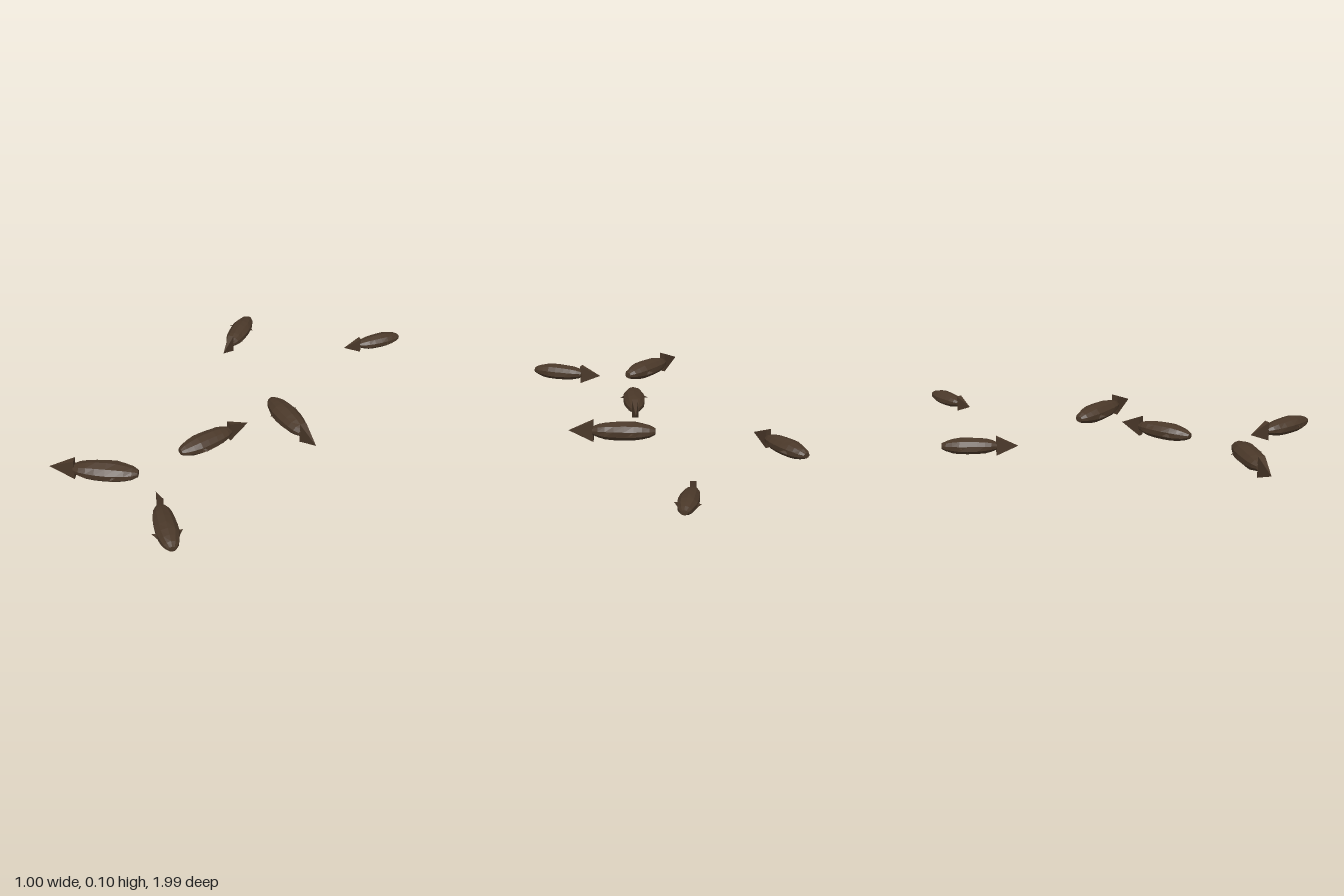
import * as THREE from 'three';

const LENGTH = 0.417; // full-size fish, tail tip to nose
const MID_Y = 0.0525;

// Each fish: tail tip x, z, then nose x, z
const SCHOOL = [
  [0.265, -0.74, 0.465, -0.985],
  [-0.26, -0.38, -0.31, -0.74],
  [0.5, 0.065, 0.145, -0.15],
  [0.135, 0.07, -0.03, 0.42],
  [-0.5, 0.805, -0.115, 0.645],
  [0.02, 0.71, 0.28, 0.985],
];

// Blunt-ended, slightly lumpy oval body along z
function bodyGeometry() {
  const profile = [
    [0, 0.112], [0.42, 0.115], [0.68, 0.143], [0.86, 0.178], [0.95, 0.22], [1, 0.27],
    [0.97, 0.315], [0.83, 0.355], [0.62, 0.39], [0.34, 0.416], [0, 0.417],
  ].map(([r, z]) => new THREE.Vector2(r, z));
  const geo = new THREE.LatheGeometry(profile, 10);
  geo.rotateX(Math.PI / 2);
  const p = geo.attributes.position;
  for (let i = 0; i < p.count; i++) {
    const x = p.getX(i), y = p.getY(i), z = p.getZ(i);
    const lump = 1 + 0.03 * Math.sin(5 * x + 3 * y + 110 * z);
    p.setXY(i, x * lump * 0.06, y * lump * 0.045);
  }
  geo.computeVertexNormals();
  return geo;
}

// Flat four-sided tail, its point trailing at z = 0
function tailGeometry() {
  const geo = new THREE.ConeGeometry(Math.SQRT1_2, 0.12, 4);
  geo.rotateY(Math.PI / 4);
  geo.rotateX(-Math.PI / 2);
  geo.scale(0.034, 0.104, 1);
  geo.translate(0, 0, 0.06);
  return geo;
}

// Small swept-back spike on the flank
function finGeometry(side) {
  const base = new THREE.Vector3(side * 0.046, 0, 0.318);
  const tip = new THREE.Vector3(side * 0.077, 0, 0.293);
  const dir = tip.clone().sub(base);
  const geo = new THREE.ConeGeometry(0.015, dir.length(), 4);
  geo.scale(1, 1, 0.5);
  geo.applyQuaternion(new THREE.Quaternion().setFromUnitVectors(
    new THREE.Vector3(0, 1, 0), dir.normalize()));
  geo.translate(...base.add(tip).multiplyScalar(0.5).toArray());
  return geo;
}

export function createModel() {
  const model = new THREE.Group();
  model.name = 'schoolOfFish';
  const skin = new THREE.MeshStandardMaterial({ color: 0x4a3829, flatShading: true });
  const parts = {
    body: bodyGeometry(),
    tail: tailGeometry(),
    leftFin: finGeometry(1),
    rightFin: finGeometry(-1),
  };

  SCHOOL.forEach(([tx, tz, nx, nz], i) => {
    const fish = new THREE.Group();
    fish.name = `fish${i + 1}`;
    for (const [name, geo] of Object.entries(parts)) {
      const mesh = new THREE.Mesh(geo, skin);
      mesh.name = name;
      fish.add(mesh);
    }
    fish.position.set(tx, MID_Y, tz);
    fish.rotation.y = Math.atan2(nx - tx, nz - tz);
    fish.scale.setScalar(Math.hypot(nx - tx, nz - tz) / LENGTH);
    model.add(fish);
  });
  return model;
}
